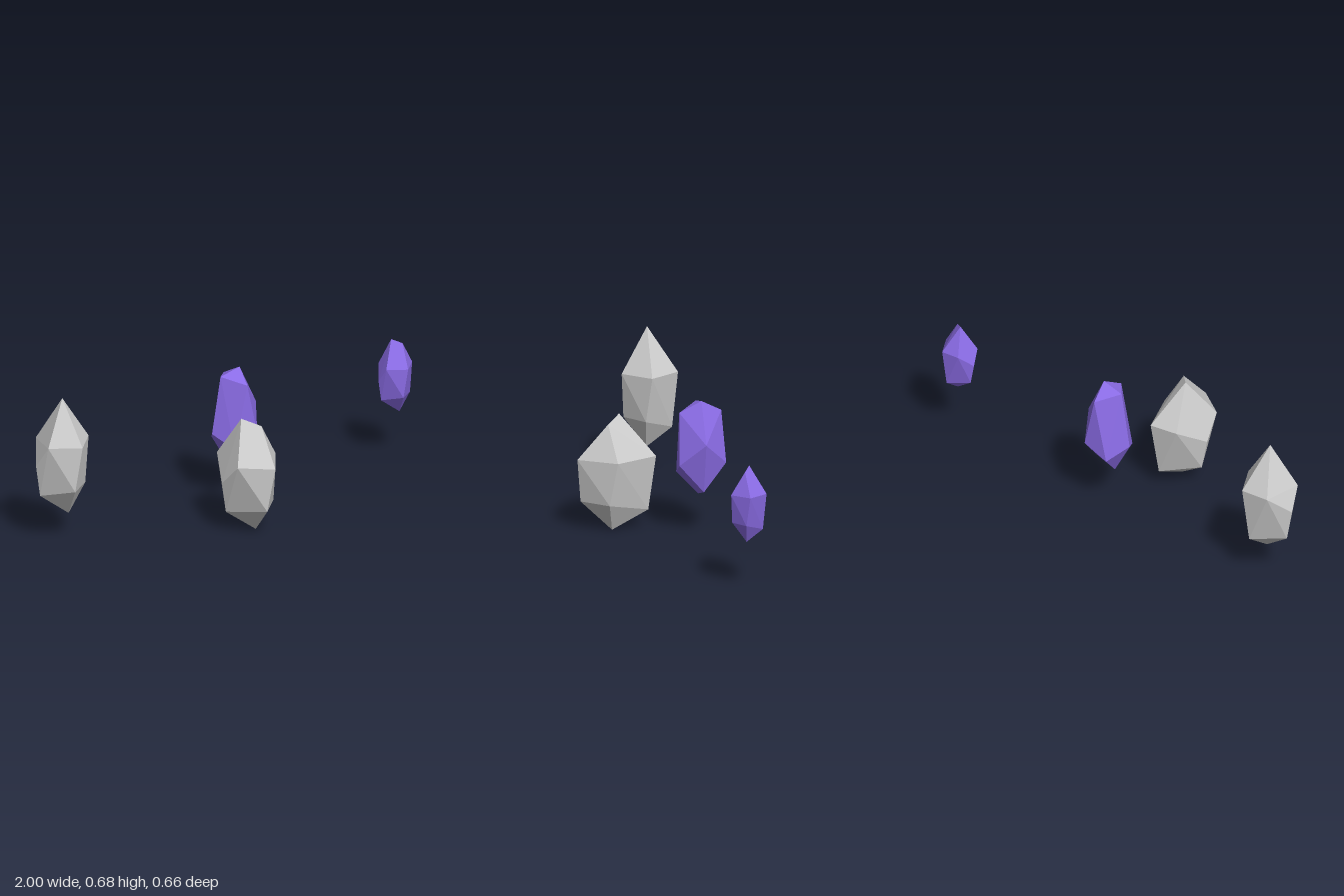
import * as THREE from 'three';
import { ConvexGeometry } from 'three/addons/geometries/ConvexGeometry.js';

const grey = new THREE.MeshStandardMaterial({ color: 0xcccccc, flatShading: true });
const purple = new THREE.MeshStandardMaterial({ color: 0x8b6ce6, flatShading: true });

// Shared crystal body: five-sided shoulder, waist, four-sided foot and bottom tip
const BODY = [
  [0.032, 0.34, 0.165], [-0.075, 0.34, 0.325], [-0.214, 0.345, 0.23], [-0.171, 0.335, -0.005], [-0.043, 0.34, -0.03],
  [-0.235, 0.245, 0.134],
  [0, 0.135, 0.195], [-0.104, 0.135, 0.303], [-0.21, 0.1, 0.127], [-0.066, 0.085, 0],
  [-0.075, 0, 0.165],
];
const CHIPPED_TIP = [[-0.123, 0.527, 0.12], [-0.059, 0.5, 0.187]];
const SHARP_TIP = [[-0.102, 0.54, 0.15]];

// Tilted crystal, symmetric in z: points on the mid plane and mirrored pairs
const TILTED_MID = [[0.083, 0.622], [-0.019, 0.594], [0.17, 0.438], [-0.064, 0.328], [0.02, 0.17], [0.126, 0.207]];
const TILTED_PAIRS = [[0.061, 0.567, 0.097], [0.107, 0.333, 0.108], [-0.005, 0.272, 0.094]];

function crystal(name, points, material, scale = [1, 1, 1], offset = [0, 0, 0]) {
  const vertices = points.map((p) => new THREE.Vector3(...p.map((v, i) => v * scale[i] + offset[i])));
  const mesh = new THREE.Mesh(new ConvexGeometry(vertices), material);
  mesh.name = name;
  return mesh;
}

export function createModel() {
  const group = new THREE.Group();
  group.name = 'crystals';

  const chipped = [...BODY, ...CHIPPED_TIP];
  const sharp = [...BODY, ...SHARP_TIP];
  const tilted = TILTED_MID.map(([x, y]) => [x, y, 0]);
  for (const [x, y, z] of TILTED_PAIRS) tilted.push([x, y, z], [x, y, -z]);

  group.add(
    crystal('frontGreyCrystal', chipped, grey),
    crystal('rightGreyCrystal', sharp, grey, [1, 1.03, 0.71], [-0.765, 0.126, -0.311]),
    crystal('leftPurpleCrystal', chipped, purple, [0.64, 0.66, 0.446], [0.977, 0.222, -0.267]),
    crystal('tiltedPurpleCrystal', tilted, purple, [1, 1, 1], [0, 0, -0.207]),
  );
  return group;
}
